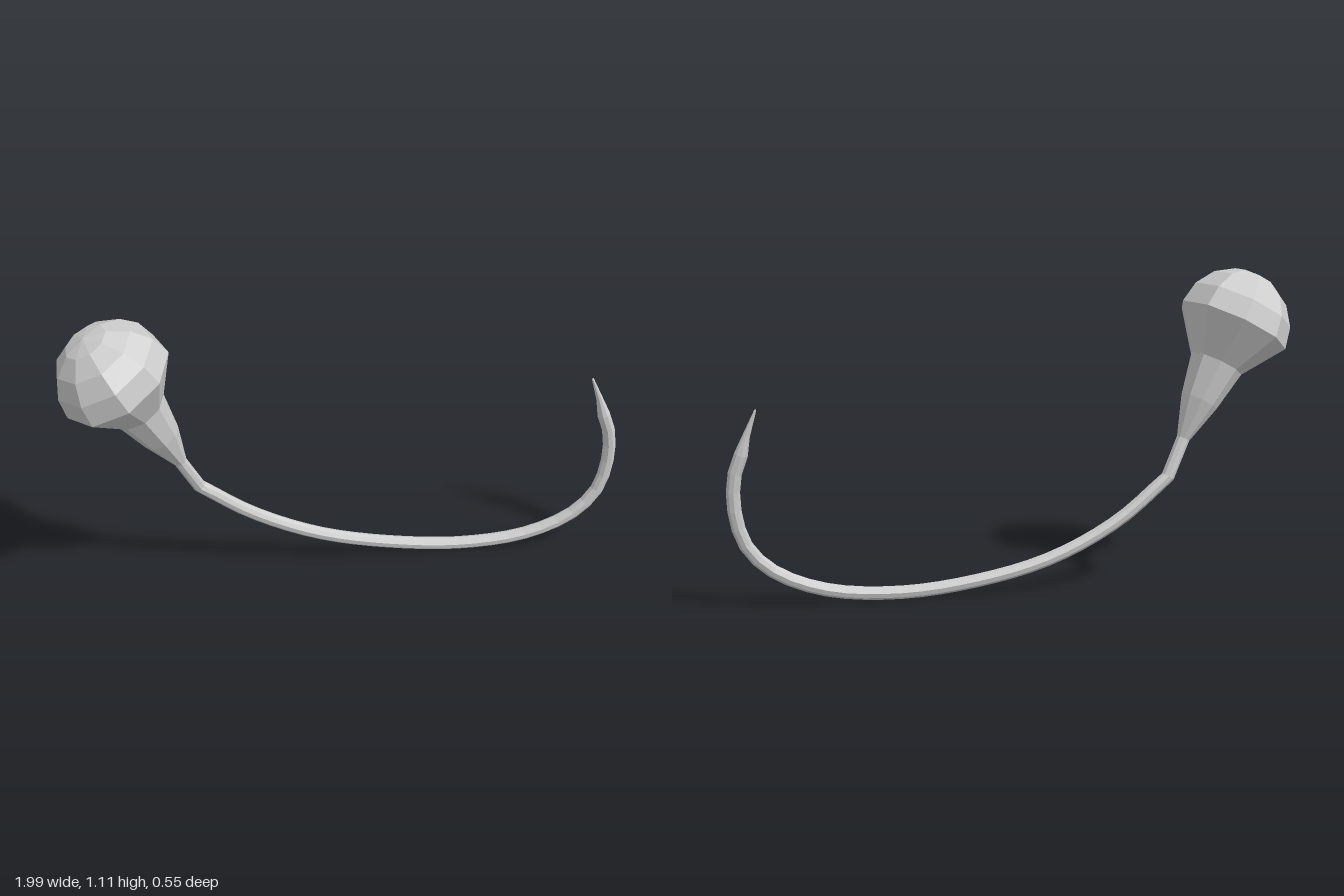
import * as THREE from 'three';

const SIDES = 9;
const V = (x, y, z) => new THREE.Vector3(x, y, z);

// Flat-shaded skin over a run of round sections [{ p, r, t }]
function skin(name, sections, material) {
  const pos = [], idx = [], Z = V(0, 0, 1);
  for (const { p, r, t } of sections) {
    const e1 = t.clone().cross(Z).normalize();
    const e2 = e1.clone().cross(t);
    for (let j = 0; j < SIDES; j++) {
      const a = (j / SIDES) * Math.PI * 2 - 0.06;
      const v = p.clone().addScaledVector(e1, r * Math.cos(a)).addScaledVector(e2, r * Math.sin(a));
      pos.push(v.x, v.y, v.z);
    }
  }
  for (let i = 0; i < sections.length - 1; i++) {
    for (let j = 0; j < SIDES; j++) {
      const a = i * SIDES + j, b = i * SIDES + (j + 1) % SIDES;
      const c = a + SIDES, d = b + SIDES;
      if (sections[i].r > 0) idx.push(a, c, b);
      if (sections[i + 1].r > 0) idx.push(b, c, d);
    }
  }
  const indexed = new THREE.BufferGeometry();
  indexed.setAttribute('position', new THREE.Float32BufferAttribute(pos, 3));
  indexed.setIndex(idx);
  const geometry = indexed.toNonIndexed();
  geometry.computeVertexNormals();
  const mesh = new THREE.Mesh(geometry, material);
  mesh.name = name;
  return mesh;
}

export function createModel() {
  const group = new THREE.Group();
  group.name = 'hookedStem';
  const material = new THREE.MeshStandardMaterial({ color: 0xcccccc, flatShading: true });

  // Pointed tip, from the point down to the stem
  const sections = [
    { p: V(0.892, 0.695, -0.26), r: 0 },
    { p: V(0.893, 0.69, -0.26), r: 0.004 },
    { p: V(0.925, 0.605, -0.258), r: 0.013 },
  ];
  const tipEnd = sections.length;

  // Curved stem
  const path = new THREE.CatmullRomCurve3([
    V(0.945, 0.54, -0.255), V(0.971, 0.46, -0.253), V(0.972, 0.34, -0.248), V(0.938, 0.22, -0.237),
    V(0.85, 0.125, -0.222), V(0.68, 0.051, -0.203), V(0.45, 0.025, -0.182),
    V(0.2, 0.044, -0.16), V(-0.1, 0.113, -0.128), V(-0.35, 0.235, -0.092), V(-0.54, 0.385, -0.052),
  ]);
  for (const p of path.getSpacedPoints(30)) sections.push({ p, r: 0.024 });
  const stemEnd = sections.length;

  // Flaring neck up to the rim of the bulb
  const rim = V(-0.79, 0.905, 0.076), R = 0.207;
  sections.push(
    { p: V(-0.6, 0.515, -0.016), r: 0.024 },
    { p: V(-0.66, 0.645, 0.012), r: 0.07 },
    { p: V(-0.725, 0.775, 0.042), r: 0.1 },
    { p: rim, r: R },
  );

  // Domed top of the bulb
  const axis = V(-0.44, 0.87, 0.21).normalize();
  for (let k = 1; k <= 4; k++) {
    const a = (k * Math.PI) / 8;
    sections.push({
      p: rim.clone().addScaledVector(axis, R * Math.sin(a)),
      r: k === 4 ? 0 : R * Math.cos(a),
    });
  }

  // Direction of each section; the whole bulb shares one axis
  sections.forEach((s, i) => {
    const before = sections[Math.max(i - 1, 0)].p;
    const after = sections[Math.min(i + 1, sections.length - 1)].p;
    s.t = i > stemEnd ? axis : after.clone().sub(before).normalize();
  });

  group.add(skin('tip', sections.slice(0, tipEnd + 1), material));
  group.add(skin('stem', sections.slice(tipEnd, stemEnd + 1), material));
  group.add(skin('bulb', sections.slice(stemEnd), material));
  return group;
}
